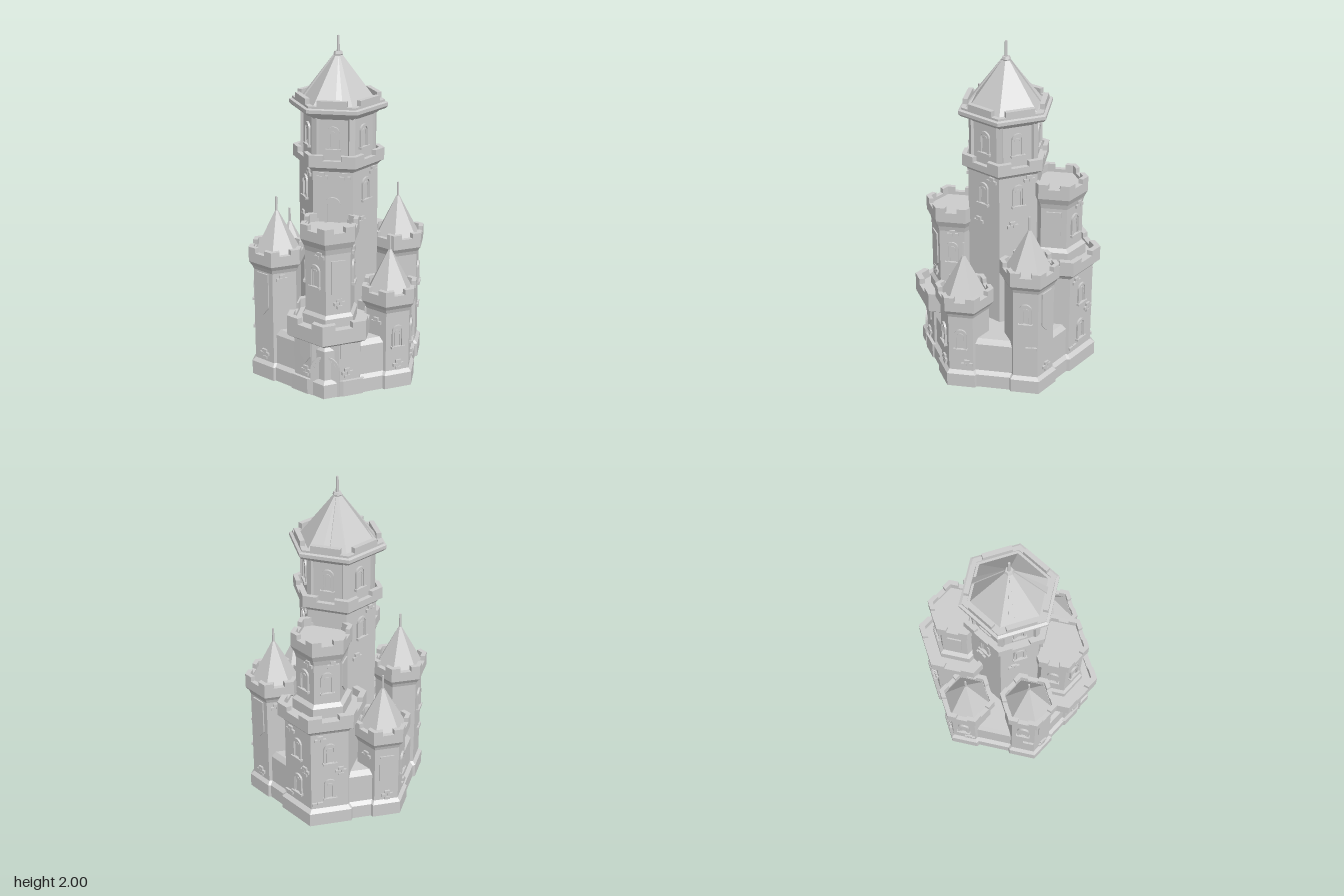
import * as THREE from 'three';

const stone = new THREE.MeshStandardMaterial({ color: 0xcccccc, flatShading: true });
const rad = THREE.MathUtils.degToRad;
const AP = Math.cos(Math.PI / 6); // hexagon apothem per unit radius

function add(parent, name, geo, x = 0, y = 0, z = 0) {
  const m = new THREE.Mesh(geo, stone);
  m.name = name;
  m.position.set(x, y, z);
  parent.add(m);
  return m;
}

// Hexagonal solid from a [radius, y] profile; turn = 0 puts a corner on +z
const hex = (profile, turn = 0) =>
  new THREE.LatheGeometry(profile.map(p => new THREE.Vector2(...p)), 6, rad(turn));

// Flat slab from [x, z] points between two heights
function slab(points, y0, y1) {
  const shape = new THREE.Shape(points.map(([x, z]) => new THREE.Vector2(x, -z)));
  return new THREE.ExtrudeGeometry(shape, { depth: y1 - y0, bevelEnabled: false })
    .rotateX(-Math.PI / 2).translate(0, y0, 0);
}

// Battlement blocks wrapped around the six corners
function merlons(parent, R, Ri, y0, y1, turn = 0, f = 0.3) {
  const at = (r, deg) => [r * Math.sin(rad(deg)), r * Math.cos(rad(deg))];
  const mix = (a, b) => [a[0] + (b[0] - a[0]) * f, a[1] + (b[1] - a[1]) * f];
  for (let i = 0; i < 6; i++) {
    const c = turn + i * 60;
    const o = at(R, c), n = at(Ri, c);
    add(parent, 'merlon', slab([
      mix(o, at(R, c - 60)), o, mix(o, at(R, c + 60)),
      mix(n, at(Ri, c + 60)), n, mix(n, at(Ri, c - 60)),
    ], y0, y1));
  }
}

// Group sitting on a wall face: azimuth from +z towards +x
function face(parent, name, azimuth, dist, y, u = 0) {
  const a = rad(azimuth), g = new THREE.Group();
  g.name = name;
  g.rotation.y = a;
  g.position.set(Math.sin(a) * dist + Math.cos(a) * u, y, Math.cos(a) * dist - Math.sin(a) * u);
  parent.add(g);
  return g;
}

function archPath(P, w, h) {
  const p = new P(), r = w / 2;
  p.moveTo(-r, 0);
  p.lineTo(r, 0);
  p.lineTo(r, h - r);
  p.absarc(0, h - r, r, 0, Math.PI, false);
  p.closePath();
  return p;
}
const extrude = (s, depth) =>
  new THREE.ExtrudeGeometry(s, { depth, bevelEnabled: false, curveSegments: 8 });

// Arched frame with a recessed panel
function arch(g, w, h, border, depth) {
  const frame = archPath(THREE.Shape, w, h);
  frame.holes.push(archPath(THREE.Path, w - 2 * border, h - border));
  add(g, 'archFrame', extrude(frame, depth), 0, 0, -0.002);
  add(g, 'archPanel', extrude(archPath(THREE.Shape, w - 2 * border, h - border), 0.004), 0, 0, -0.001);
}

function windowOn(parent, azimuth, dist, y) {
  const g = face(parent, 'window', azimuth, dist, y);
  arch(g, 0.072, 0.14, 0.013, 0.014);
  arch(g, 0.038, 0.112, 0.006, 0.009);
  add(g, 'sill', new THREE.BoxGeometry(0.084, 0.014, 0.024), 0, 0.004, 0.008);
}

function bannerOn(parent, azimuth, dist, y, h = 0.26, w = 0.085) {
  const s = new THREE.Shape([[-w / 2, 0], [-w / 2, -h + 0.05], [0, -h], [w / 2, -h + 0.05], [w / 2, 0]]
    .map(p => new THREE.Vector2(...p)));
  add(face(parent, 'banner', azimuth, dist, y), 'bannerCloth', extrude(s, 0.008));
}

// Small cluster of raised stones
function bricksOn(parent, azimuth, dist, y, u = 0, count = 4) {
  const g = face(parent, 'bricks', azimuth, dist, y, u);
  [[-0.012, 0], [0.022, 0.002], [0.004, 0.021], [0.006, -0.021]].slice(0, count).forEach(([x, dy]) =>
    add(g, 'brick', new THREE.BoxGeometry(0.032, 0.019, 0.02), x, dy, 0.002));
}

// Hexagonal tower: optional plinth, flared crown and battlements
function tower(parent, name, { x = 0, z = 0, R, Rt, base, top, foot = 0, turn = 0, wall = 0.03, flare = 0.05, crown = 0.09 }) {
  const g = new THREE.Group();
  g.name = name;
  g.position.set(x, 0, z);
  parent.add(g);
  const y = top - crown, Ri = Rt - wall;
  add(g, 'towerWall', hex([
    [0, base], [R + foot, base], [R + foot, base + 0.085], [R, base + 0.105],
    [R, y - flare], [R + (Rt - R) * 0.3, y - flare * 0.55], [Rt, y], [Rt, top - 0.03],
    [Ri, top - 0.03], [Ri, top - 0.05], [0, top - 0.05],
  ], turn));
  merlons(g, Rt, Ri, top - 0.03, top, turn);
  return g;
}

function cornerTower(root, x, z, top) {
  const g = tower(root, 'cornerTower', { x, z, R: 0.144, Rt: 0.173, base: 0, top, foot: 0.022 });
  add(g, 'towerRoof', hex([[0, top - 0.045], [0.14, top - 0.045], [0.009, top + 0.2], [0, top + 0.2]]));
  add(g, 'spire', new THREE.CylinderGeometry(0.006, 0.008, 0.1, 6), 0, top + 0.235, 0);
  return g;
}

export function createModel() {
  const root = new THREE.Group();
  root.name = 'castle';

  // Low curtain wall joining the corner towers
  add(root, 'curtainWall', hex([[0, 0], [0.53, 0], [0.53, 0.085], [0.505, 0.105], [0.505, 0.285],
    [0.48, 0.315], [0, 0.315]]));

  // Four corner towers: tall and short on opposite diagonals
  const d = 0.144 * AP;
  for (const s of [1, -1]) {
    const turn = s > 0 ? 0 : 180;
    const tall = cornerTower(root, -0.33 * s, 0.19 * s, 0.81);
    bannerOn(tall, turn - 30, d, 0.66);
    windowOn(tall, turn - 90, d, 0.46);
    bricksOn(tall, turn - 30, d, 0.15);
    bricksOn(tall, turn + 30, d, 0.63, -0.02, 3);
    bricksOn(tall, turn - 90, d, 0.3, 0.03, 2);
    const low = cornerTower(root, 0.33 * s, 0.19 * s, 0.61);
    if (s > 0) windowOn(low, 30, d, 0.25);
    else bannerOn(low, 210, d, 0.42, 0.22);
    windowOn(low, turn + 90, d, 0.25);
    bricksOn(low, turn + 30, d, 0.14);
    bricksOn(low, turn + 90, d, 0.15, 0.03, 3);
    bricksOn(low, turn - 30, d, 0.4, 0, 3);
  }

  // Gatehouse with flat door wall under a hexagonal balcony
  const gate = new THREE.Group();
  gate.name = 'gatehouse';
  root.add(gate);
  const plan = (w, zs, f, zf) => [[-w, 0.2], [-w, zs], [-f, zf], [f, zf], [w, zs], [w, 0.2]];
  add(gate, 'gateWall', slab(plan(0.19, 0.41, 0.08, 0.475), 0, 0.36));
  add(gate, 'gatePlinth', slab(plan(0.21, 0.42, 0.105, 0.481), 0, 0.095));
  const balcony = new THREE.Group();
  balcony.name = 'balcony';
  balcony.position.z = 0.3;
  gate.add(balcony);
  add(balcony, 'balconyWall', hex([[0, 0.32], [0.222, 0.32], [0.263, 0.345], [0.263, 0.43],
    [0.225, 0.43], [0.225, 0.41], [0, 0.41]]));
  merlons(balcony, 0.263, 0.225, 0.43, 0.465);
  const door = face(gate, 'door', 0, 0.482, 0);
  arch(door, 0.166, 0.25, 0.014, 0.012);
  arch(door, 0.134, 0.23, 0.006, 0.008);
  add(door, 'doorSeam', new THREE.BoxGeometry(0.005, 0.22, 0.006), 0, 0.11, 0.004);
  for (const s of [-1, 1]) {
    add(door, 'doorHandle', new THREE.BoxGeometry(0.008, 0.02, 0.012), s * 0.014, 0.09, 0.006);
    const side = face(balcony, 'gateSide', s * 30, 0.19, 0, s * 0.025);
    bannerOn(side, 0, 0, 0.325, 0.14, 0.075);
    bricksOn(side, 0, 0, 0.14);
  }

  // Front tower above the balcony
  const front = tower(root, 'frontTower', { z: 0.3, R: 0.15, Rt: 0.178, base: 0.38, top: 1.01, foot: 0.018, flare: 0.07 });
  const df = 0.15 * AP;
  windowOn(front, -30, df, 0.64);
  windowOn(front, 90, df, 0.64);
  windowOn(front, -90, df, 0.64);
  bannerOn(front, 30, df, 0.81, 0.25);
  bricksOn(front, 30, df, 0.55);
  bricksOn(front, -30, df, 0.83, 0.03, 3);
  bricksOn(front, 90, df, 0.83, 0, 3);

  // Rear bastion and the tower rising from it
  const rear = tower(root, 'rearBastion', { z: -0.3, R: 0.222, Rt: 0.263, base: 0, top: 0.76, foot: 0.028, wall: 0.038, flare: 0.04, crown: 0.09 });
  for (const a of [150, 210]) {
    windowOn(rear, a, 0.222 * AP, 0.17);
    windowOn(rear, a, 0.222 * AP, 0.42);
    bricksOn(rear, a, 0.222 * AP, 0.36, 0.06);
    bricksOn(rear, a, 0.222 * AP, 0.59, -0.06, 3);
    bricksOn(rear, a, 0.222 * AP, 0.14, -0.08, 2);
  }
  const rearTop = tower(root, 'rearTower', { z: -0.3, R: 0.15, Rt: 0.178, base: 0.69, top: 1.21, foot: 0.025, flare: 0.07 });
  for (const a of [150, 210]) {
    windowOn(rearTop, a, df, 0.86);
    bricksOn(rearTop, a, df, 1.04, 0.03, 3);
  }
  for (const a of [90, 270]) bannerOn(rearTop, a, df, 1.03, 0.2);

  // Central keep
  const keep = tower(root, 'keep', { R: 0.23, Rt: 0.267, base: 0, top: 1.36, turn: 30, flare: 0.03, crown: 0.07 });
  const dk = 0.23 * AP;
  for (const a of [-120, -60, 60, 120]) {
    windowOn(keep, a, dk, 1.07);
    bricksOn(keep, a, dk, 0.95, -0.04, 3);
    bricksOn(keep, a, dk, 1.23, 0.06, 3);
  }
  for (const u of [-0.065, 0.065]) bricksOn(keep, 0, dk, 1.225, u, 3);
  arch(face(keep, 'terraceDoor', 0, dk, 0.95), 0.09, 0.16, 0.014, 0.014);

  // Lantern storey with corner posts, windows and a crenellated cornice
  const lantern = new THREE.Group();
  lantern.name = 'lantern';
  root.add(lantern);
  add(lantern, 'lanternWall', hex([[0, 1.3], [0.21, 1.3], [0.21, 1.6], [0, 1.6]], 30));
  add(lantern, 'cornice', hex([[0, 1.56], [0.215, 1.56], [0.245, 1.585], [0.27, 1.59], [0.285, 1.605], [0.285, 1.625],
    [0.267, 1.63], [0.267, 1.642], [0.237, 1.642], [0.237, 1.635], [0, 1.635]], 30));
  for (let i = 0; i < 6; i++) {
    windowOn(lantern, i * 60, 0.21 * AP, 1.38);
    const post = face(lantern, 'cornerPost', i * 60 + 30, 0.207, 1.45);
    add(post, 'post', new THREE.BoxGeometry(0.036, 0.26, 0.02));
    const m = face(lantern, 'corniceMerlon', i * 60, 0.267 * AP - 0.014, 1.657);
    add(m, 'merlon', new THREE.BoxGeometry(0.17, 0.035, 0.028));
  }

  // Main roof with thin ribs and a spire
  add(lantern, 'mainRoof', hex([[0, 1.635], [0.22, 1.635], [0.016, 1.9], [0, 1.9]], 30));
  for (const a of [180, -74, 10]) {
    const rib = face(lantern, 'roofRib', a, 0.02, 1.89);
    const s = new THREE.Shape([[0, 0], [-0.02, -0.315], [0.02, -0.315]].map(p => new THREE.Vector2(...p)));
    add(rib, 'rib', extrude(s, 0.008)).rotation.x = -Math.atan2(0.19, 0.25);
  }
  add(lantern, 'finial', hex([[0, 1.885], [0.022, 1.885], [0.028, 1.895], [0.022, 1.91], [0, 1.91]], 30));
  add(lantern, 'mainSpire', new THREE.CylinderGeometry(0.007, 0.01, 0.1, 6), 0, 1.95, 0);

  return root;
}
